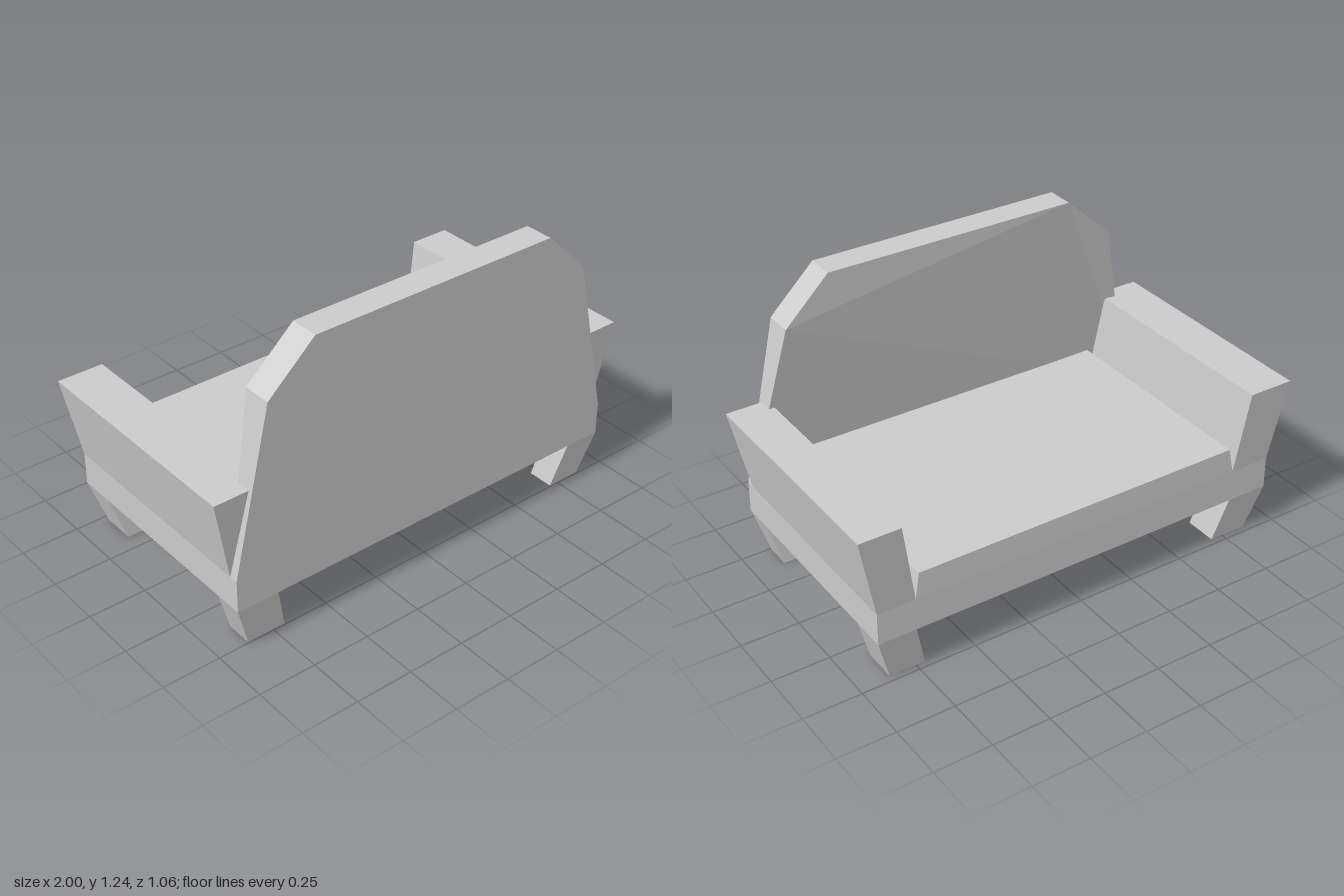
import * as THREE from 'three';

const material = new THREE.MeshStandardMaterial({ color: 0xcccccc, flatShading: true });

// Tapered block between two level rectangles, each given as [x0, x1, z0, z1]
function taperedBlock(name, y0, bottom, y1, top) {
  const geometry = new THREE.BoxGeometry(1, 1, 1);
  const p = geometry.attributes.position;
  for (let i = 0; i < p.count; i++) {
    const r = p.getY(i) > 0 ? top : bottom;
    p.setXYZ(i, p.getX(i) > 0 ? r[1] : r[0], p.getY(i) > 0 ? y1 : y0, p.getZ(i) > 0 ? r[3] : r[2]);
  }
  geometry.computeVertexNormals();
  const mesh = new THREE.Mesh(geometry, material);
  mesh.name = name;
  return mesh;
}

// Backrest: flat outer face, inner face leaning away towards the seat
function createBackrest() {
  const outline = [
    [-0.93, 0.34], [-0.75, 0.34], [0.75, 0.34], [0.925, 0.34],
    [0.765, 1.05], [0.57, 1.24], [-0.56, 1.24], [-0.77, 1.05],
  ].map(([x, y]) => new THREE.Vector2(x, y));
  const geometry = new THREE.ExtrudeGeometry(new THREE.Shape(outline), { depth: 1, bevelEnabled: false });
  const p = geometry.attributes.position;
  for (let i = 0; i < p.count; i++) {
    const lean = Math.max(0, (1.05 - p.getY(i)) / 0.71);
    p.setZ(i, p.getZ(i) > 0.5 ? 0.53 : 0.405 + 0.085 * lean);
  }
  geometry.computeVertexNormals();
  const mesh = new THREE.Mesh(geometry, material);
  mesh.name = 'backrest';
  return mesh;
}

export function createModel() {
  const sofa = new THREE.Group();
  sofa.name = 'sofa';

  // Base frame and seat cushion, the seat opening towards -z
  const base = [-0.93, 0.925, -0.505, 0.53];
  sofa.add(taperedBlock('base', 0.2, base, 0.34, base));
  sofa.add(taperedBlock('seatCushion', 0.34, [-0.75, 0.76, -0.505, 0.5], 0.45, [-0.73, 0.74, -0.5, 0.49]));
  sofa.add(createBackrest());

  // Armrests flare outwards on every side
  sofa.add(taperedBlock('leftArmrest', 0.34, [0.76, 0.925, -0.505, 0.49], 0.7, [0.82, 1, -0.53, 0.51]));
  sofa.add(taperedBlock('rightArmrest', 0.34, [-0.93, -0.75, -0.505, 0.49], 0.7, [-1, -0.8, -0.53, 0.51]));

  // Legs lean inwards: foot x, top x for each side; foot z, top z for each end
  const sides = { left: [[0.71, 0.865], [0.76, 0.925]], right: [[-0.865, -0.695], [-0.93, -0.745]] };
  const ends = { Seat: [[-0.47, -0.325], [-0.505, -0.35]], Back: [[0.38, 0.495], [0.405, 0.53]] };
  for (const [side, x] of Object.entries(sides)) {
    for (const [end, z] of Object.entries(ends)) {
      sofa.add(taperedBlock(`${side}${end}Leg`, 0, [...x[0], ...z[0]], 0.2, [...x[1], ...z[1]]));
    }
  }
  return sofa;
}
